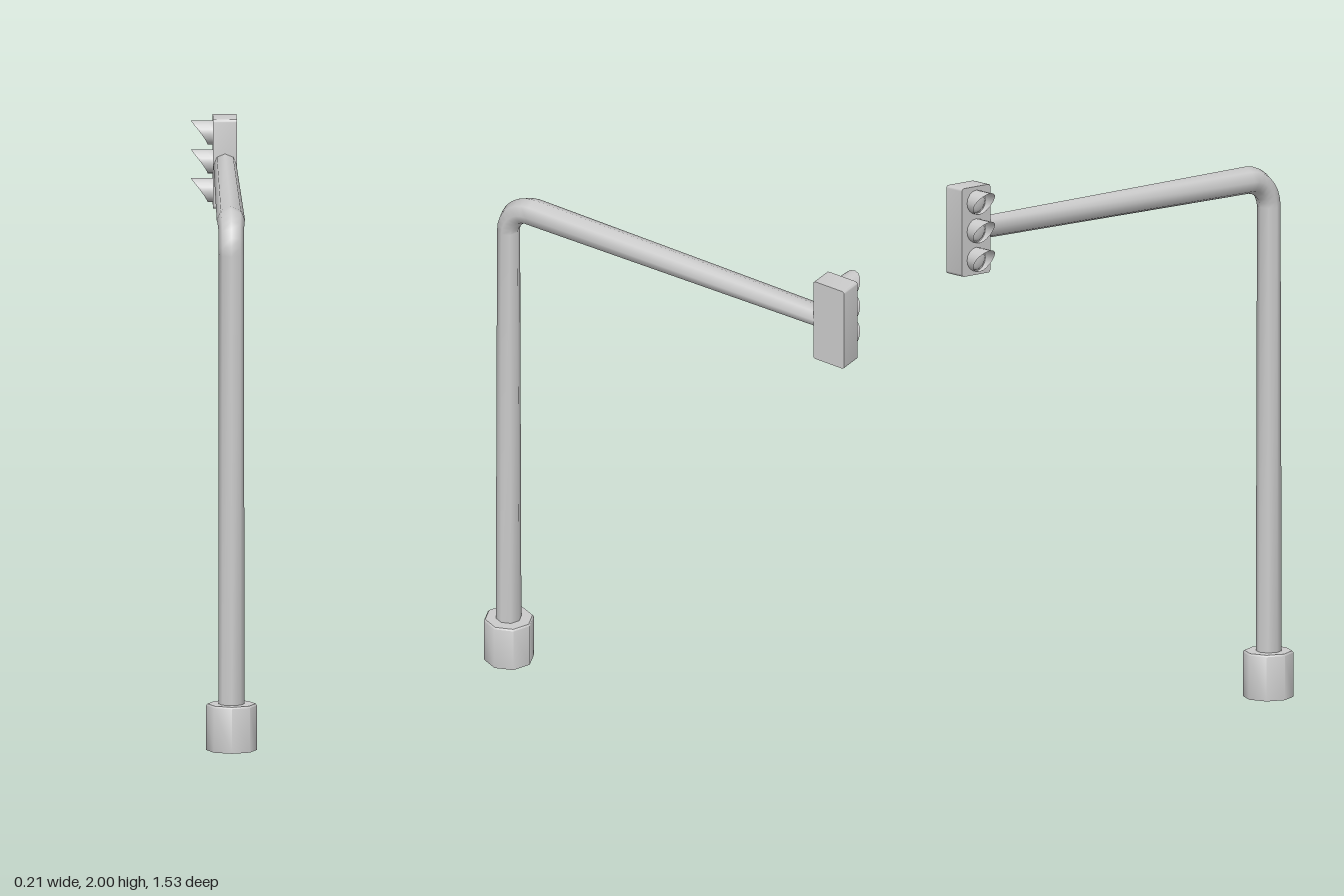
import * as THREE from 'three';
import { toCreasedNormals } from 'three/addons/utils/BufferGeometryUtils.js';

const grey = new THREE.MeshStandardMaterial({ color: 0xcccccc });
const greyThin = new THREE.MeshStandardMaterial({ color: 0xcccccc, side: THREE.DoubleSide });
const CX = 0.011;      // shared centre line of pole, arm and lamp box
const POLE_Z = 0.678;

function part(name, geometry, material = grey) {
  const mesh = new THREE.Mesh(geometry, material);
  mesh.name = name;
  return mesh;
}

// Skin of quads over rings of points; rows x cols, point(i, j) gives [x, y, z]
function skin(rows, cols, point) {
  const pos = [], index = [];
  for (let i = 0; i < rows; i++) for (let j = 0; j < cols; j++) pos.push(...point(i, j));
  for (let i = 0; i < rows - 1; i++) {
    for (let j = 0; j < cols; j++) {
      const k = (j + 1) % cols;
      const a = i * cols + j, b = i * cols + k, c = a + cols, d = b + cols;
      index.push(a, c, b, b, c, d);
    }
  }
  const g = new THREE.BufferGeometry();
  g.setAttribute('position', new THREE.Float32BufferAttribute(pos, 3));
  g.setIndex(index);
  g.computeVertexNormals();
  return g;
}

// Tapered pole that bends over into the arm
function poleGeometry() {
  const R = 0.106, bendY = 1.732, steps = 7, sides = 8;
  const rings = [{ y: 0.15, z: POLE_Z, a: 0, r: 0.045 }];
  for (let i = 0; i <= steps; i++) {
    const t = i / steps, a = t * Math.PI / 2;
    rings.push({
      y: bendY + R * Math.sin(a), z: POLE_Z - R + R * Math.cos(a),
      a, r: 0.038 + 0.011 * t,
    });
  }
  rings.push({ y: 1.84, z: -0.64, a: Math.PI / 2, r: 0.04 });
  return skin(rings.length, sides, (i, j) => {
    const { y, z, a, r } = rings[i], t = j / sides * Math.PI * 2;
    const n = r * Math.sin(t);
    // the upright is slightly wider across x than along z
    const rx = Math.max(r, 0.044 - 0.004 * (i === rings.length - 1));
    return [CX + rx * Math.cos(t), y + n * Math.sin(a), z + n * Math.cos(a)];
  });
}

// Lamp box: rounded rectangle in the z-y plane, extruded along x
function boxGeometry() {
  const w = 0.065, h = 0.156, r = 0.01, depth = 0.082;
  const s = new THREE.Shape();
  s.moveTo(-w + r, -h);
  s.lineTo(w - r, -h).quadraticCurveTo(w, -h, w, -h + r);
  s.lineTo(w, h - r).quadraticCurveTo(w, h, w - r, h);
  s.lineTo(-w + r, h).quadraticCurveTo(-w, h, -w, h - r);
  s.lineTo(-w, -h + r).quadraticCurveTo(-w, -h, -w + r, -h);
  const g = new THREE.ExtrudeGeometry(s, { depth, bevelEnabled: false, curveSegments: 3 });
  return toCreasedNormals(g.translate(0, 0, -depth / 2).rotateY(Math.PI / 2), 0.7);
}

// Visor: round hood pointing to -x, long on top and cut away below
function visorGeometry() {
  const r = 0.042, sides = 16;
  return skin(5, sides, (i, j) => {
    const t = j / sides * Math.PI * 2;
    const length = 0.018 + 0.058 * Math.pow((1 + Math.cos(t)) / 2, 1.4);
    return [-length * i / 4, r * Math.cos(t), r * Math.sin(t)];
  });
}

export function createModel() {
  const model = new THREE.Group();
  model.name = 'trafficLight';

  // Octagonal foot, open underneath
  const profile = [[0.088, 0], [0.088, 0.156], [0.083, 0.162], [0, 0.162]]
    .map(([x, y]) => new THREE.Vector2(x, y));
  const foot = part('foot', toCreasedNormals(new THREE.LatheGeometry(profile, 8), 0.8), greyThin);
  foot.position.set(CX + 0.001, 0, POLE_Z - 0.002);
  model.add(foot);

  model.add(part('poleAndArm', poleGeometry()));

  // Signal head with three hooded lamps facing -x
  const head = new THREE.Group();
  head.name = 'signalHead';
  head.position.set(CX, 1.844, -0.7);
  head.add(part('lampBox', boxGeometry()));
  for (let i = -1; i <= 1; i++) {
    const lamp = new THREE.Group();
    lamp.name = 'lamp';
    lamp.position.set(-0.041, i * 0.101, 0);
    const lens = part('lens', new THREE.SphereGeometry(0.038, 16, 4, 0, Math.PI * 2, 0, Math.PI / 2));
    lens.rotation.z = Math.PI / 2;
    lens.scale.y = 0.3;
    lamp.add(part('visor', visorGeometry(), greyThin), lens);
    head.add(lamp);
  }
  model.add(head);
  return model;
}
